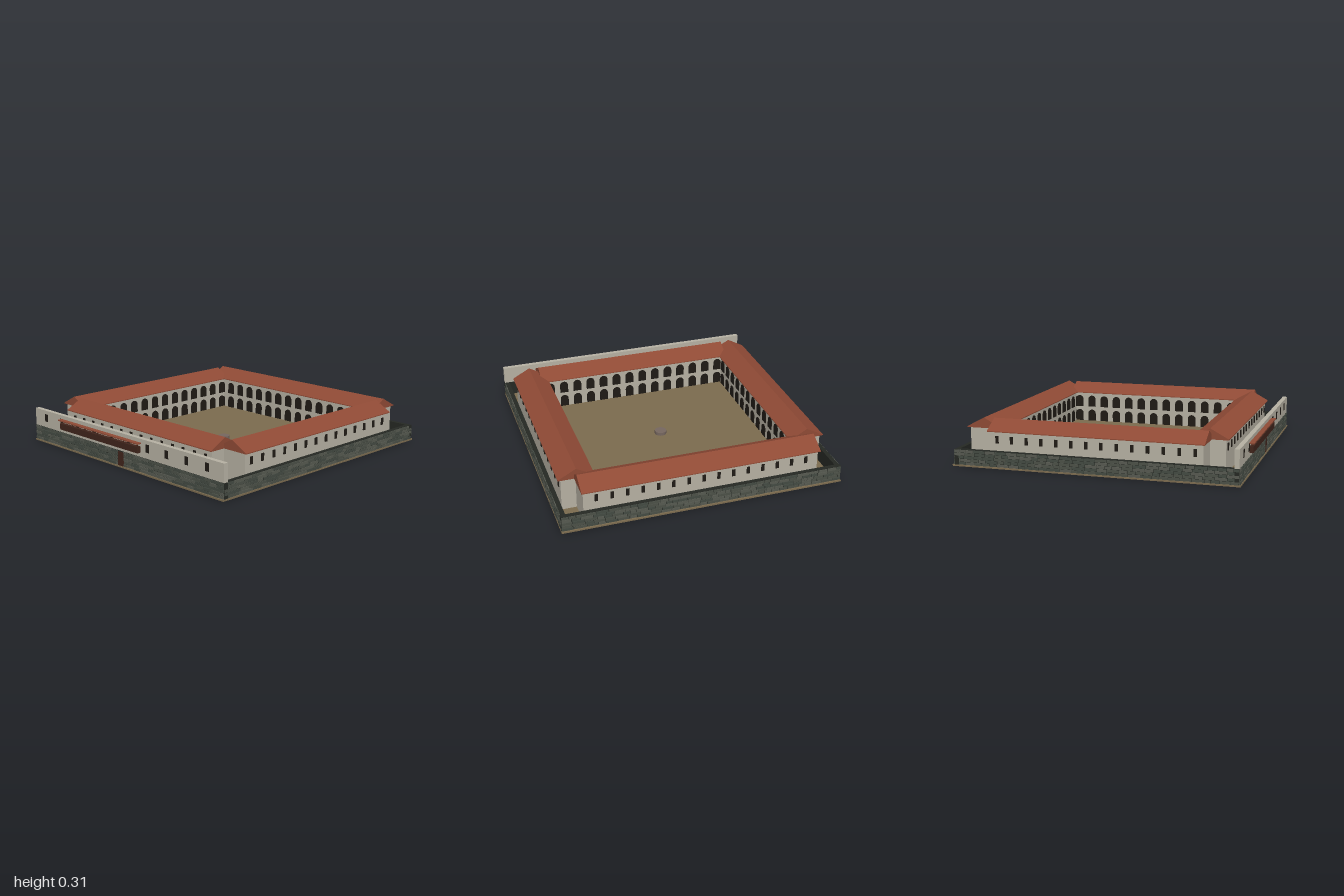
import * as THREE from 'three';
import { mergeGeometries } from 'three/addons/utils/BufferGeometryUtils.js';

const mat = (color) => new THREE.MeshStandardMaterial({ color, flatShading: true });
const M = {
  plaster: mat(0xb5b0a2), roof: mat(0x8f4a35), earth: mat(0x7a6a4e), dark: mat(0x1f1a15),
  mortar: mat(0x252823), wood: mat(0x40241b), well: mat(0x75665f),
  stones: [mat(0x4b5047), mat(0x565950), mat(0x434a42)],
};

// Small seeded generator for the masonry
let seed = 7;
const rnd = () => (seed = (seed * 16807) % 2147483647) / 2147483647;

function add(parent, name, geo, material) {
  const m = new THREE.Mesh(geo, material);
  m.name = name;
  parent.add(m);
  return m;
}

// Box given by its limits on each axis
function span(x0, x1, y0, y1, z0, z1) {
  return new THREE.BoxGeometry(x1 - x0, y1 - y0, z1 - z0)
    .translate((x0 + x1) / 2, (y0 + y1) / 2, (z0 + z1) / 2);
}

// Round-topped opening panel standing on y = 0, facing -z
function archPanel(width, height) {
  const r = width / 2, s = new THREE.Shape();
  s.moveTo(-r, 0);
  s.lineTo(r, 0);
  s.lineTo(r, height - r);
  s.absarc(0, height - r, r, 0, Math.PI, false);
  s.closePath();
  return new THREE.ExtrudeGeometry(s, { depth: 0.005, bevelEnabled: false, curveSegments: 8 }).rotateY(Math.PI);
}

// Gabled wing running along x: outside faces +z, arcade faces -z
function makeWing(name, roofLength) {
  const g = new THREE.Group();
  g.name = name;
  const half = roofLength / 2 - 0.012, depth = 0.105;
  add(g, 'wingWalls', span(-half, half, 0.01, 0.245, -depth, depth), M.plaster);

  const s = new THREE.Shape();
  s.moveTo(-0.125, 0.242);
  s.lineTo(0.125, 0.242);
  s.lineTo(0.125, 0.248);
  s.lineTo(0, 0.315);
  s.lineTo(-0.125, 0.248);
  s.closePath();
  const roof = new THREE.ExtrudeGeometry(s, { depth: roofLength, bevelEnabled: false })
    .translate(0, 0, -roofLength / 2).rotateY(Math.PI / 2);
  add(g, 'tiledRoof', roof, M.roof);

  const step = 0.105, n = Math.floor((2 * half - 0.1) / step) + 1;
  const windows = [], arches = [];
  for (let i = 0; i < n; i++) {
    const x = (i - (n - 1) / 2) * step;
    windows.push(span(x - 0.011, x + 0.011, 0.163, 0.213, depth - 0.005, depth + 0.006));
    for (const y of [0.012, 0.128]) arches.push(archPanel(0.062, 0.09).translate(x, y, -depth));
  }
  add(g, 'windows', mergeGeometries(windows), M.dark);
  add(g, 'arcade', mergeGeometries(arches), M.dark);
  return g;
}

// Masonry wall along x with its outer face near z = 0; gap is an optional doorway [x0, x1]
function makeStoneWall(name, length, gap) {
  const g = new THREE.Group();
  g.name = name;
  const half = length / 2, rows = 5, y0 = 0.01, rowH = 0.021;
  add(g, 'wallCore', span(-half, half, 0.008, 0.117, -0.035, -0.005), M.mortar);
  const piles = [[], [], []];
  for (let r = 0; r < rows; r++) {
    let x = -half;
    while (x < half - 0.005) {
      let end = Math.min(half, x + 0.04 + rnd() * 0.05);
      if (half - end < 0.02) end = half;
      const y = y0 + r * rowH, out = -0.002 + rnd() * 0.004;
      const shade = Math.floor(rnd() * 3);
      const pieces = gap
        ? [[x, Math.min(end, gap[0])], [Math.max(x, gap[1]), end]]
        : [[x, end]];
      for (const [a, b] of pieces) {
        if (b - a > 0.008) piles[shade].push(span(a + 0.002, b - 0.002, y + 0.002, y + rowH - 0.001, -0.012, out));
      }
      x = end;
    }
  }
  piles.forEach((p, i) => add(g, 'stones' + (i + 1), mergeGeometries(p), M.stones[i]));
  return g;
}

export function createModel() {
  const model = new THREE.Group();
  model.name = 'courtyardBuilding';
  const place = (part, x, z, turn) => {
    part.position.set(x, 0, z);
    part.rotation.y = turn;
    model.add(part);
  };
  const Q = Math.PI / 2;

  add(model, 'ground', span(-0.985, 0.985, 0, 0.011, -1, 0.975), M.earth);

  // Four wings round the courtyard
  place(makeWing('frontWing', 1.5), 0, 0.725, 0);
  place(makeWing('backWing', 1.67), 0, -0.83, Math.PI);
  place(makeWing('leftWing', 1.495), 0.82, -0.012, Q);
  place(makeWing('rightWing', 1.495), -0.82, -0.012, -Q);

  // Perimeter masonry
  place(makeStoneWall('frontStoneWall', 1.966, [-0.035, 0.025]), 0, 0.97, 0);
  place(makeStoneWall('backStoneWall', 1.966), 0, -0.99, Math.PI);
  place(makeStoneWall('leftStoneWall', 1.95), 0.983, -0.01, Q);
  place(makeStoneWall('rightStoneWall', 1.95), -0.983, -0.01, -Q);

  // Plastered upper front wall with windows and door
  add(model, 'upperFrontWall', span(-0.983, 0.983, 0.117, 0.242, 0.933, 0.966), M.plaster);
  const windows = [];
  for (let i = 0; i < 10; i++) {
    const x = -0.85 + i * 0.187;
    windows.push(span(x - 0.016, x + 0.016, 0.16, 0.215, 0.96, 0.969));
  }
  add(model, 'frontWindows', mergeGeometries(windows), M.dark);
  add(model, 'door', span(-0.033, 0.023, 0.011, 0.108, 0.955, 0.969), M.wood);

  // Long wooden balcony with posts and a thin tiled canopy
  add(model, 'balcony', span(-0.65, 0.2, 0.146, 0.19, 0.965, 0.993), M.wood);
  add(model, 'balconyCanopy', span(-0.665, 0.21, 0.208, 0.216, 0.965, 1), M.roof);
  const posts = [];
  for (let i = 0; i < 7; i++) {
    const x = -0.645 + i * 0.14;
    posts.push(span(x - 0.003, x + 0.003, 0.188, 0.21, 0.985, 0.991));
  }
  add(model, 'balconyPosts', mergeGeometries(posts), M.wood);

  // Well in the middle of the court
  add(model, 'well', new THREE.CylinderGeometry(0.043, 0.043, 0.025, 20).translate(0, 0.022, -0.01), M.well);

  return model;
}
